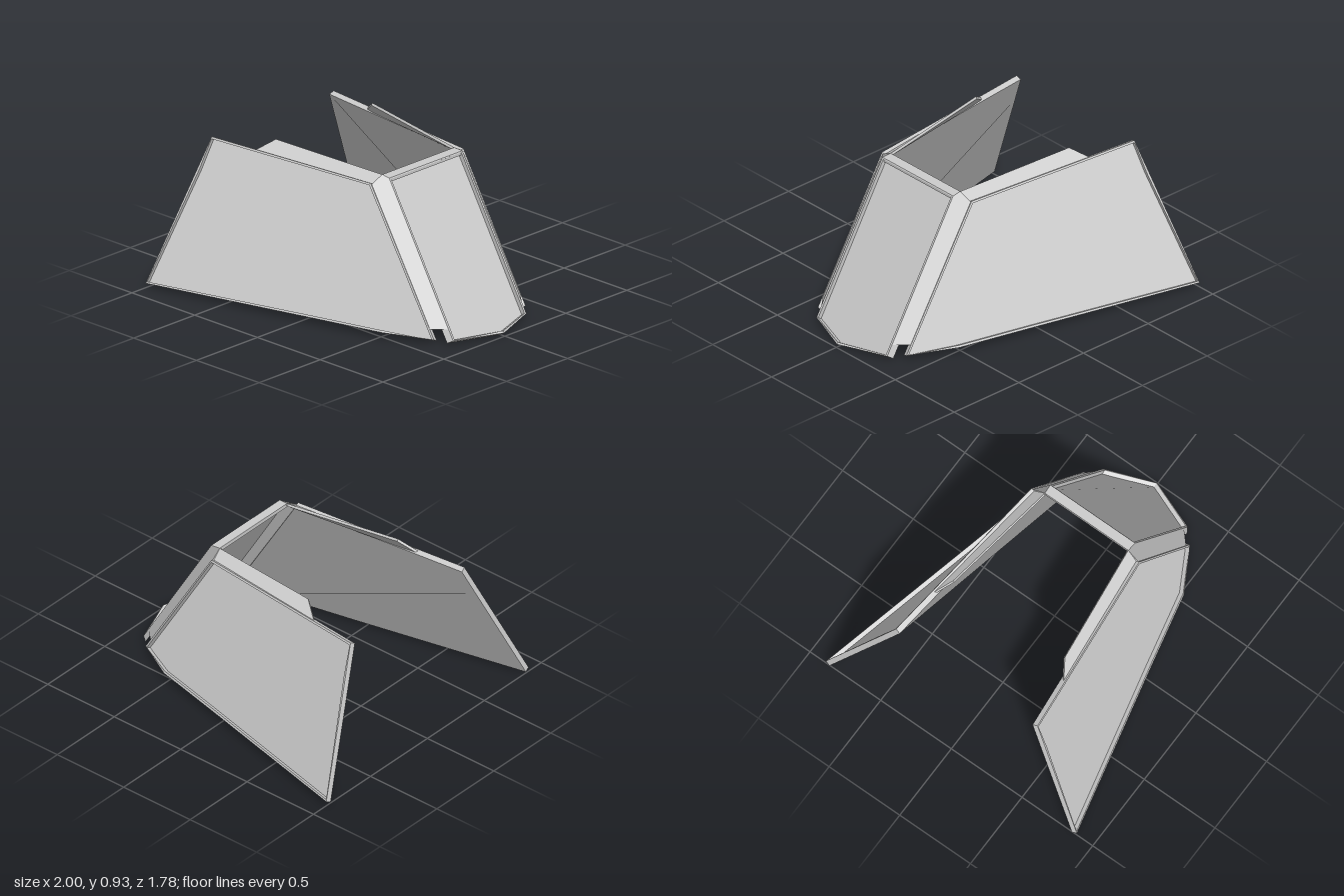
import * as THREE from 'three';

const material = new THREE.MeshStandardMaterial({ color: 0xcccccc, side: THREE.DoubleSide });
const vec = (p) => new THREE.Vector3(...p);

// Move every point of a loop by a distance along a direction
const shift = (loop, n, d) => loop.map((p) => p.clone().addScaledVector(n, d));

// Move a counter-clockwise loop inward, in the plane facing n
function inset(loop, n, d) {
  return loop.map((p, i) => {
    const next = loop[(i + 1) % loop.length];
    const prev = loop[(i + loop.length - 1) % loop.length];
    const tangent = next.clone().sub(prev).normalize();
    return p.clone().addScaledVector(n.clone().cross(tangent).normalize(), d);
  });
}

// Folded sheet shaded evenly, as one broad face
function sheet(loop, triangles, n, reversed = false) {
  const g = new THREE.BufferGeometry().setFromPoints(loop);
  g.setIndex(triangles.flatMap(([a, b, c]) => (reversed ? [a, c, b] : [a, b, c])));
  const s = reversed ? -1 : 1;
  const normals = loop.flatMap(() => [n.x * s, n.y * s, n.z * s]);
  g.setAttribute('normal', new THREE.Float32BufferAttribute(normals, 3));
  return g;
}

// Flat-shaded walls joining a chain of loops of equal length
function walls(loops) {
  const n = loops[0].length, index = [];
  for (let r = 0; r < loops.length - 1; r++) {
    for (let i = 0; i < n; i++) {
      const a = r * n + i, b = r * n + (i + 1) % n;
      index.push(a, b, b + n, a, b + n, a + n);
    }
  }
  const g = new THREE.BufferGeometry().setFromPoints(loops.flat());
  g.setIndex(index);
  const flat = g.toNonIndexed();
  flat.computeVertexNormals();
  return flat;
}

function add(parent, name, geometry) {
  const mesh = new THREE.Mesh(geometry, material);
  mesh.name = name;
  parent.add(mesh);
}

// Plate with a raised rim (recess > 0) or a plain slab (recess = 0);
// flare widens its back edge
function plate(name, corners, triangles, normal, { depth, recess = 0, flare = 0, side = 1 }) {
  const group = new THREE.Group();
  group.name = name;
  const n = vec(normal).normalize();
  let loop = corners.map(vec);
  let tris = triangles;
  if (side < 0) {
    // Mirror in z, keeping the loop counter-clockwise
    const last = loop.length - 1;
    loop = loop.map((p) => p.setZ(-p.z)).reverse();
    tris = triangles.map(([a, b, c]) => [last - a, last - c, last - b]);
    n.z *= -1;
  }
  const back = shift(loop, n, -depth);
  for (const p of back) p.z += Math.sign(p.z) * flare;
  const lip = recess ? inset(loop, n, 0.014) : loop;
  const face = recess ? shift(lip, n, -recess) : loop;
  add(group, 'face', sheet(face, tris, n));
  add(group, 'back', sheet(back, tris, n, true));
  add(group, 'rim', walls(recess ? [back, loop, lip, face] : [back, loop]));
  return group;
}

const quad = [[0, 1, 2], [0, 2, 3]];

// Fold lines of the two wings, fanning from the rear edge to the foot
const frontFolds = [[0, 1, 5], [0, 5, 6], [1, 2, 3], [1, 3, 4], [1, 4, 5]];
const backFolds = [[0, 1, 2], [0, 2, 3], [0, 3, 4], [0, 4, 5], [0, 5, 6]];

export function createModel() {
  const model = new THREE.Group();
  model.name = 'foldedShield';

  // Sloping end panel with a pointed foot
  model.add(plate('endPanel',
    [[0.37, 0.89, 0.3], [0.88, 0.03, 0.3], [0.995, 0.026, 0], [0.88, 0.03, -0.3], [0.37, 0.89, -0.3]],
    [[0, 1, 2], [0, 2, 4], [2, 3, 4]], [0.86, 0.5, 0], { depth: 0.036, recess: 0.028, flare: 0.018 }));

  // Flat lip across the top of the end panel
  model.add(plate('topLip',
    [[0.31, 0.895, 0.295], [0.37, 0.89, 0.3], [0.37, 0.89, -0.3], [0.31, 0.895, -0.295]],
    quad, [0, 1, 0], { depth: 0.025 }));

  for (const [label, side, folds] of [['front', 1, frontFolds], ['back', -1, backFolds]]) {
    // Large flared wing, bent toward the end panel along its foot
    model.add(plate(label + 'Wing',
      [[-0.85, 0.868, 0.5], [-0.883, 0.685, 0.585], [-1, 0.035, 0.888], [0.07, 0.045, 0.635],
        [0.53, 0.05, 0.53], [0.8, 0.035, 0.375], [0.3, 0.862, 0.38]],
      folds, [0.2, 0.42, 0.88], { depth: 0.034, recess: 0.026, side }));

    // Raised inner flange along the wing's top edge
    model.add(plate(label + 'Flange',
      [[-0.54, 0.86, 0.46], [0.31, 0.85, 0.365], [0.31, 0.895, 0.295], [-0.44, 0.935, 0.395]],
      quad, [0.08, 0.85, 0.5], { depth: 0.015, side }));

    // Corner strip joining wing and end panel, stopping above the notch
    model.add(plate(label + 'CornerStrip',
      [[0.3, 0.852, 0.375], [0.765, 0.09, 0.372], [0.842, 0.09, 0.3], [0.37, 0.89, 0.3], [0.31, 0.895, 0.295]],
      [[0, 1, 2], [0, 2, 3], [0, 3, 4]], [0.62, 0.42, 0.66], { depth: 0.015, side }));
  }
  return model;
}
